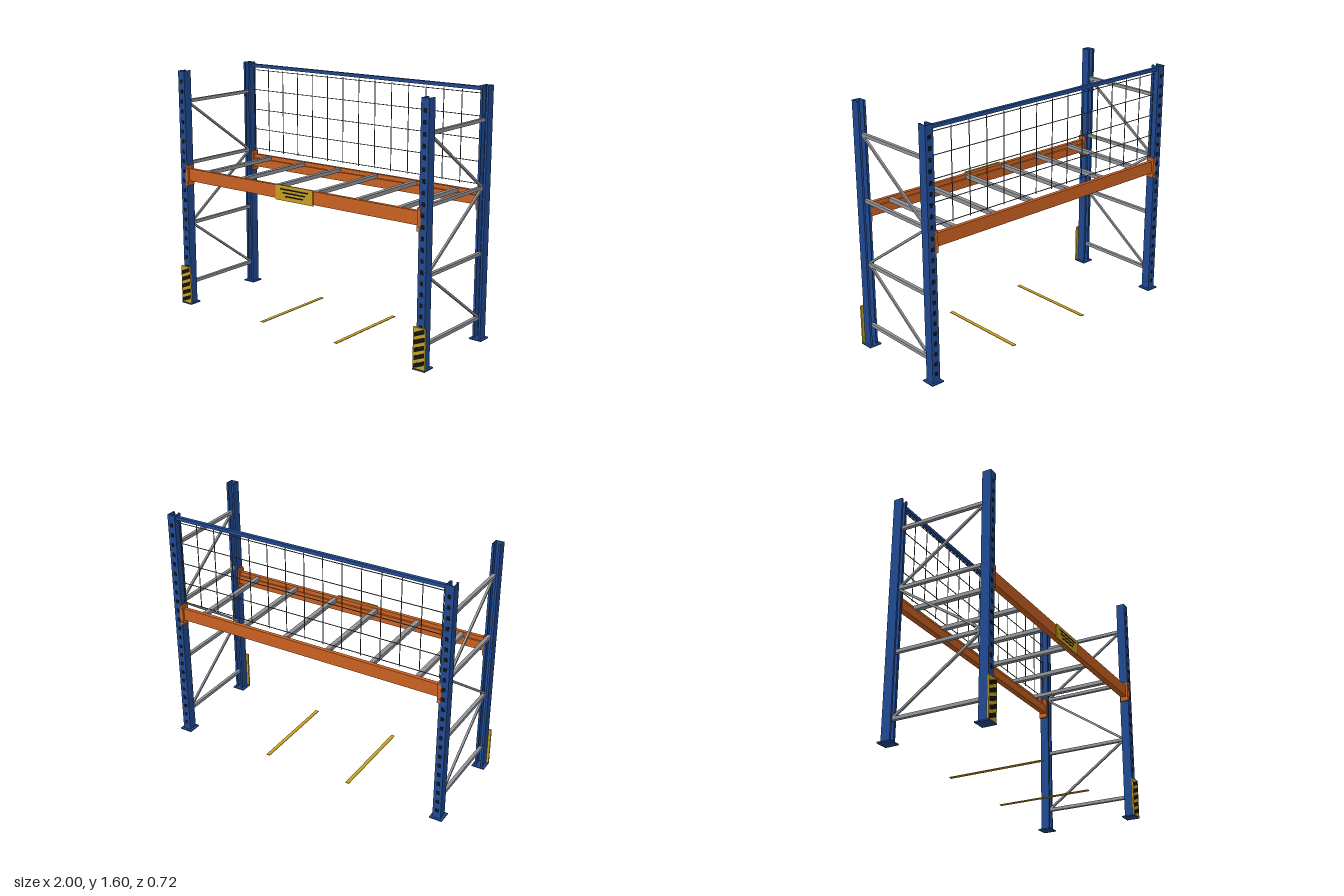
import * as THREE from 'three';

const material = (name, color) => {
  const m = new THREE.MeshStandardMaterial({ color });
  m.name = name;
  return m;
};

export function createModel() {
  const blue = material('blue paint', 0x204a92);
  const orange = material('orange paint', 0xcb6122);
  const yellow = material('safety yellow', 0xc9a020);
  const steel = material('galvanised steel', 0x92959a);
  const wire = material('mesh wire', 0x55595e);
  const black = material('black', 0x121212);

  const group = (name, parent) => {
    const g = new THREE.Group();
    g.name = name;
    parent.add(g);
    return g;
  };
  const add = (parent, name, geometry, mat, x = 0, y = 0, z = 0) => {
    const m = new THREE.Mesh(geometry, mat);
    m.name = name;
    m.position.set(x, y, z);
    parent.add(m);
    return m;
  };
  const box = (parent, name, mat, w, h, d, x, y, z) =>
    add(parent, name, new THREE.BoxGeometry(w, h, d), mat, x, y, z);
  const extrude = (points, depth) => new THREE.ExtrudeGeometry(
    new THREE.Shape(points.map(([x, y]) => new THREE.Vector2(x, y))),
    { depth, bevelEnabled: false });

  const rack = new THREE.Group();
  rack.name = 'palletRack';
  const POST_X = 0.957, H = 1.6;

  // Lipped channel section, web facing outward, open toward the frame's middle
  const w = 0.0275, t = 0.006, lip = 0.013, zo = 0.345, zi = 0.285;
  const channel = extrude([
    [-w, -zo], [w, -zo], [w, -zi], [lip, -zi], [lip, -zi - t], [w - t, -zi - t],
    [w - t, -zo + t], [-w + t, -zo + t], [-w + t, -zi - t], [-lip, -zi - t],
    [-lip, -zi], [-w, -zi],
  ], H);
  channel.rotateX(-Math.PI / 2);

  // Stepped beam section with an inner ledge, extruded along x
  const beamLength = 1.84;
  const beamSection = extrude([
    [-0.334, 0.866], [-0.296, 0.866], [-0.296, 0.923],
    [-0.309, 0.923], [-0.309, 0.95], [-0.334, 0.95],
  ], beamLength);
  beamSection.translate(0, 0, -beamLength / 2);
  beamSection.rotateY(Math.PI / 2);

  // Front and rear halves: two posts, a beam and its connectors
  const bolt = new THREE.CylinderGeometry(0.008, 0.008, 0.008, 8);
  bolt.rotateX(Math.PI / 2);
  for (const [side, angle] of [['front', 0], ['rear', Math.PI]]) {
    const half = group(side + 'Half', rack);
    half.rotation.y = angle;
    for (const s of [-1, 1]) {
      const post = group(side + 'Post', half);
      add(post, 'upright', channel, blue, s * POST_X);
      box(post, 'basePlate', blue, 0.086, 0.008, 0.09, s * POST_X, 0.004, 0.315);
      for (let i = 0; i < 23; i++) {
        box(post, 'slot', black, 0.022, 0.026, 0.002, s * POST_X, 0.063 + i * 0.0667, 0.3452);
      }
      const connector = group('beamConnector', half);
      box(connector, 'endPlate', orange, 0.012, 0.138, 0.055, s * 0.9235, 0.904, 0.319);
      box(connector, 'hookFlange', orange, 0.024, 0.138, 0.003, s * 0.93, 0.904, 0.3465);
      for (const y of [0.855, 0.952]) add(connector, 'bolt', bolt, steel, s * 0.934, y, 0.349);
    }
    const beam = add(half, side + 'Beam', beamSection, orange);
    // The extruded section runs along x with its outer face toward +z
    beam.geometry.computeBoundingBox();
    if (beam.geometry.boundingBox.min.z < 0 && beam.geometry.boundingBox.max.z < 0.2) {
      beam.rotation.y = Math.PI;
    }
  }

  // Side frame bracing
  for (const s of [-1, 1]) {
    const frame = group('sideBracing', rack);
    for (let i = 0; i < 4; i++) {
      box(frame, 'horizontalBrace', steel, 0.022, 0.021, 0.59, s * POST_X, 0.146 + i * 0.4165, 0);
    }
    const diagonals = [[0.285, 0.56, 0.155], [0.285, 0.572, 0.968], [0.285, 1.386, 0.988]];
    for (const [z, yFront, yRear] of diagonals) {
      const dy = yFront - yRear;
      const brace = box(frame, 'diagonalBrace', steel, 0.014, 0.014, Math.hypot(2 * z, dy),
        s * POST_X, (yFront + yRear) / 2, 0);
      brace.rotation.x = -Math.atan2(dy, 2 * z);
    }
  }

  // Deck support bars
  const deck = group('deckBars', rack);
  for (let i = 0; i < 6; i++) {
    box(deck, 'deckBar', steel, 0.03, 0.025, 0.61, (i - 2.5) * 0.307, 0.9365, 0);
  }

  // Rear safety mesh and its top rail
  const mesh = group('backMesh', rack);
  box(mesh, 'topRail', blue, 1.87, 0.022, 0.024, 0, 1.578, -0.318);
  for (let i = -7; i <= 7; i++) {
    box(mesh, 'verticalWire', wire, 0.004, 0.578, 0.004, i * 0.1305, 1.27, -0.318);
  }
  for (let i = 0; i < 5; i++) {
    box(mesh, 'horizontalWire', wire, 1.85, 0.004, 0.004, 0, 0.992 + i * 0.139, -0.318);
  }

  // Load sign on the front beam
  const sign = group('loadSign', rack);
  box(sign, 'signPlate', yellow, 0.3, 0.098, 0.006, 0, 0.907, 0.337);
  [[0.225, 0.931], [0.18, 0.909], [0.145, 0.887]].forEach(([width, y]) =>
    box(sign, 'signBar', black, width, 0.009, 0.002, 0, y, 0.3405));

  // Striped guards at the feet of the front posts
  const stripe = extrude([[-0.036, -0.029], [0.036, 0.001], [0.036, 0.029], [-0.036, -0.001]], 0.002);
  for (const s of [-1, 1]) {
    const guard = group('postGuard', rack);
    box(guard, 'guardPlate', yellow, 0.086, 0.255, 0.012, s * POST_X, 0.1375, 0.3525);
    for (let i = 0; i < 5; i++) {
      add(guard, 'guardStripe', stripe, black, s * POST_X, 0.04 + i * 0.0485, 0.358);
    }
  }

  // Floor marking lines
  for (const s of [-1, 1]) {
    box(rack, 'floorLine', yellow, 0.025, 0.004, 0.63, s * 0.305, 0.002, 0);
  }
  return rack;
}
